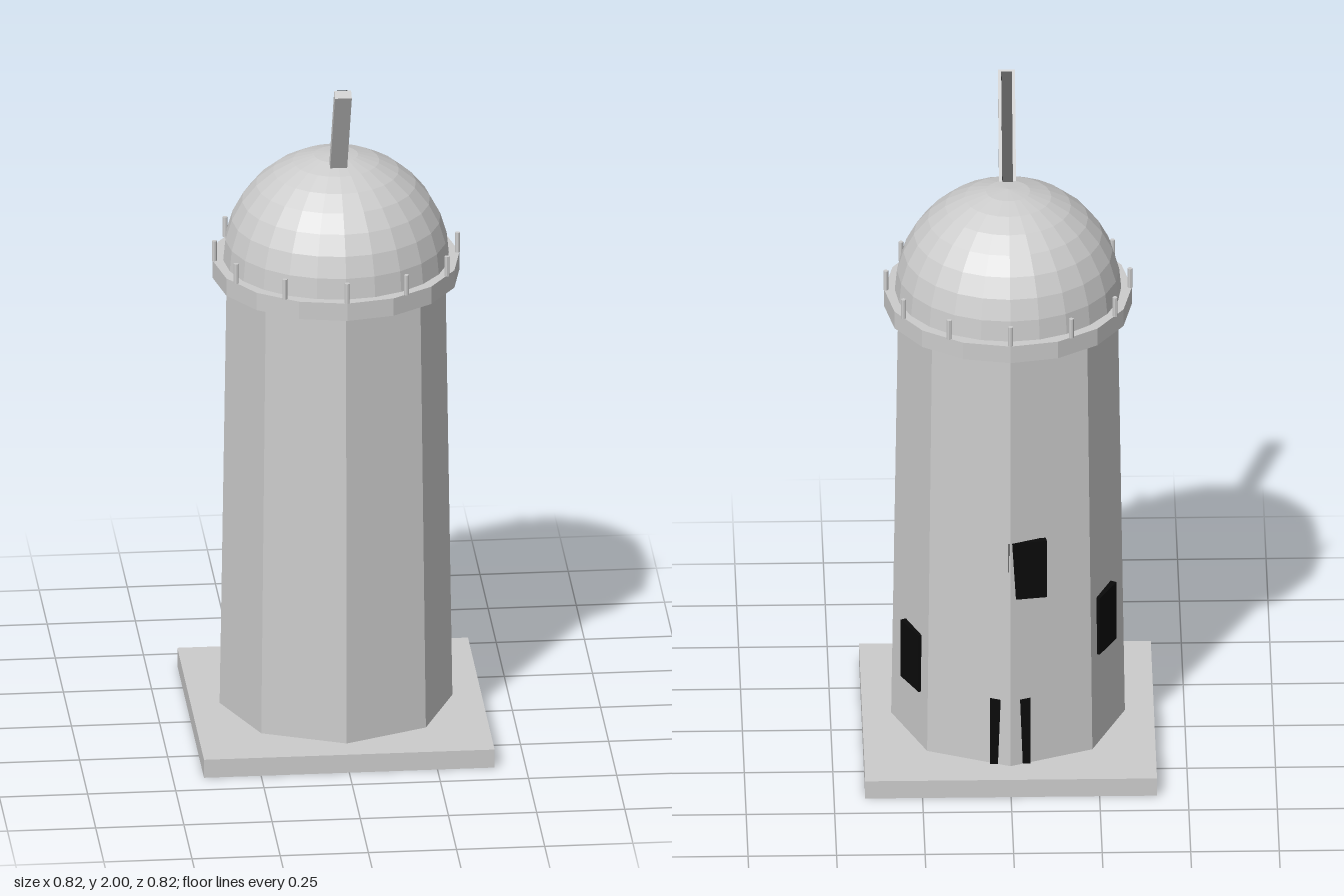
import * as THREE from 'three';

const grey = new THREE.MeshStandardMaterial({ color: 0xcccccc, flatShading: true });
const black = new THREE.MeshStandardMaterial({ color: 0x0a0a0a, flatShading: true });

function part(parent, name, geometry, material, x = 0, y = 0, z = 0) {
  const mesh = new THREE.Mesh(geometry, material);
  mesh.name = name;
  mesh.position.set(x, y, z);
  parent.add(mesh);
  return mesh;
}

export function createModel() {
  const model = new THREE.Group();
  model.name = 'observatoryTower';

  // Square plinth and tapering octagonal tower
  part(model, 'plinth', new THREE.BoxGeometry(0.824, 0.055, 0.824), grey, 0, 0.0275, 0);
  part(model, 'tower', new THREE.CylinderGeometry(0.31, 0.33, 1.305, 8), grey, 0, 0.7075, 0);

  // Gallery with railing posts
  part(model, 'gallery', new THREE.CylinderGeometry(0.35, 0.35, 0.053, 16), grey, 0, 1.3825, 0);
  const railing = new THREE.Group();
  railing.name = 'railing';
  model.add(railing);
  const postGeometry = new THREE.CylinderGeometry(0.007, 0.007, 0.06, 8);
  for (let i = 0; i < 12; i++) {
    const a = (i * Math.PI) / 6;
    part(railing, 'railingPost', postGeometry, grey, 0.345 * Math.sin(a), 1.439, 0.345 * Math.cos(a));
  }

  // Faceted half-sphere roof
  part(model, 'dome',
    new THREE.SphereGeometry(0.32, 24, 8, 0, Math.PI * 2, 0, Math.PI / 2), grey, 0, 1.407, 0);

  // Tilted telescope with a dark strip along its upper side
  const telescope = new THREE.Group();
  telescope.name = 'telescope';
  telescope.position.set(0, 1.993, 0.217);
  telescope.rotation.x = THREE.MathUtils.degToRad(28);
  model.add(telescope);
  part(telescope, 'telescopeBody', new THREE.BoxGeometry(0.048, 0.4, 0.028), grey, 0, -0.2, 0);
  part(telescope, 'telescopeStrip', new THREE.BoxGeometry(0.03, 0.39, 0.008), black, 0, -0.2, -0.016);

  // Windows climbing around the back: [degrees from the front towards +x, centre height]
  const windowGeometry = new THREE.BoxGeometry(0.11, 0.18, 0.02);
  for (const [degrees, y] of [[116.5, 0.31], [189, 0.67], [243, 0.425]]) {
    const a = THREE.MathUtils.degToRad(degrees);
    const pane = part(model, 'window', windowGeometry, black, 0.304 * Math.sin(a), y, 0.304 * Math.cos(a));
    pane.rotation.y = a;
  }

  // Back door, partly sunk behind the corner of the tower
  part(model, 'door', new THREE.BoxGeometry(0.115, 0.205, 0.025), black, 0, 0.1575, -0.303);

  return model;
}
